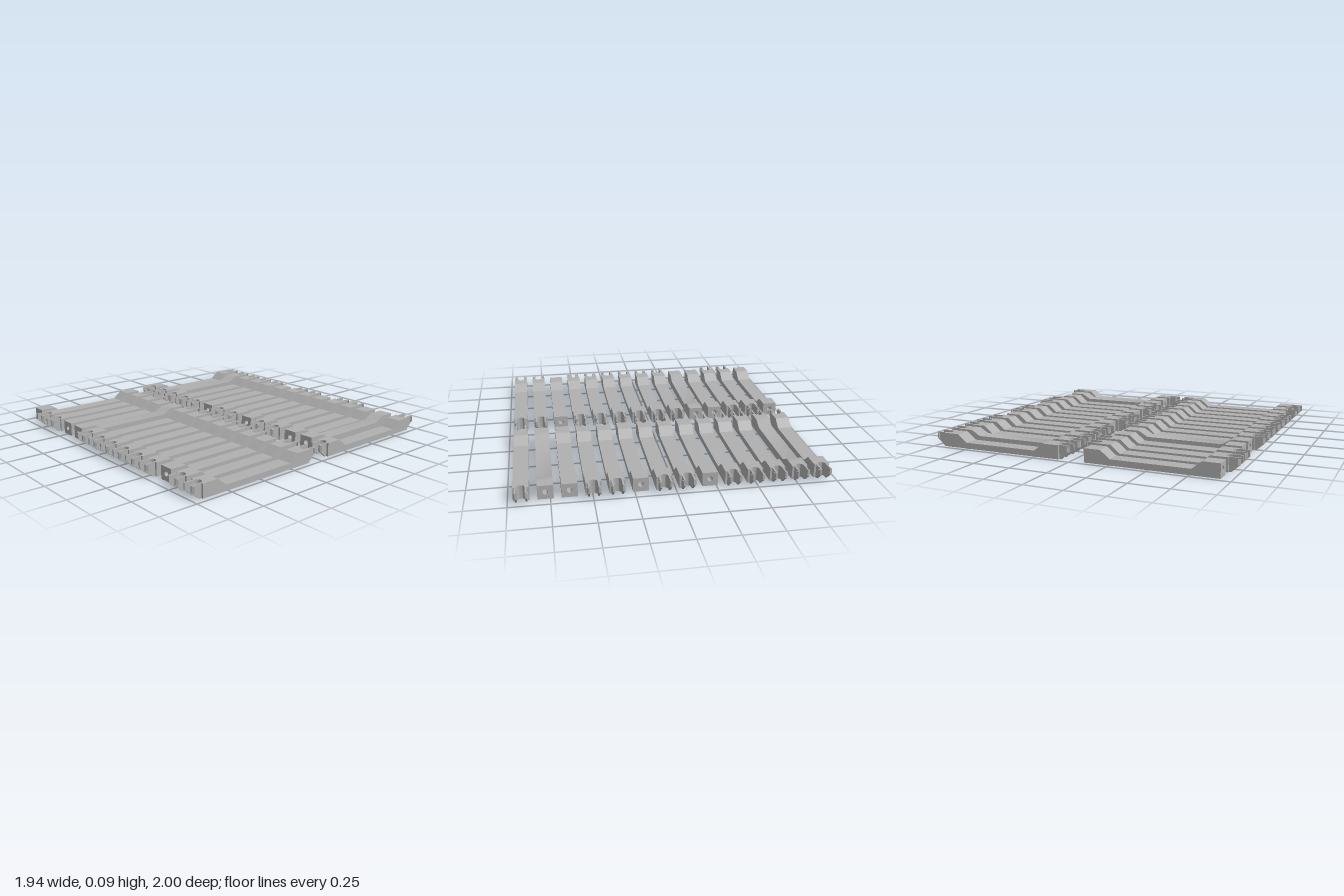
import * as THREE from 'three';
import { toCreasedNormals } from 'three/addons/utils/BufferGeometryUtils.js';

const HALF_W = 0.048, HEIGHT = 0.088, HALF_L = 0.4225, END = 0.06;
const CORE = HALF_L - END;
const extrude = (shape, depth, curveSegments = 12) =>
  new THREE.ExtrudeGeometry(shape, { depth, bevelEnabled: false, curveSegments });
const polygon = (pts) => new THREE.Shape(pts.map(([x, y]) => new THREE.Vector2(x, y)));

// Side profile (z, y) extruded across x, centred on the given x
function acrossX(pts, width, x = 0) {
  return extrude(polygon(pts.map(([z, y]) => [-z, y])), width)
    .rotateY(Math.PI / 2).translate(x - width / 2, 0, 0);
}

// Bar with raised ends and a sunken middle
function barGeometry(floor) {
  return acrossX([
    [-CORE, 0], [CORE, 0], [CORE, HEIGHT], [0.315, HEIGHT], [0.253, floor],
    [-0.253, floor], [-0.315, HEIGHT], [-CORE, HEIGHT],
  ], HALF_W * 2);
}

// Plain end block with a round socket
function socketGeometry() {
  const s = polygon([[-HALF_W, 0], [HALF_W, 0], [HALF_W, HEIGHT], [-HALF_W, HEIGHT]]);
  const hole = new THREE.Path();
  hole.absarc(0, 0.046, 0.017, 0, Math.PI * 2, true);
  s.holes.push(hole);
  return toCreasedNormals(extrude(s, END, 16).translate(0, 0, CORE), 0.6);
}

// Clip end block with a rounded notch through its height
function notchGeometry() {
  const r = 0.025, s = new THREE.Shape();
  s.moveTo(-HALF_W, -CORE);
  s.lineTo(-HALF_W, -HALF_L);
  s.lineTo(-r, -HALF_L);
  s.absarc(0, -HALF_L + 0.002, r, Math.PI, 0, true);
  s.lineTo(r, -HALF_L);
  s.lineTo(HALF_W, -HALF_L);
  s.lineTo(HALF_W, -CORE);
  const g = extrude(s, HEIGHT).rotateX(-Math.PI / 2);
  return toCreasedNormals(g, 0.6);
}

// Thin prong, chamfered underneath
const prongGeometry = () => acrossX([
  [HALF_L, 0], [0.438, 0], [0.49, 0.047], [0.49, HEIGHT], [HALF_L, HEIGHT],
], 0.01);

// Small barb on the outside of a prong tip
const barbGeometry = () => extrude(
  polygon([[0, -0.49], [0.010, -0.478], [0.010, -0.474], [0, -0.474]]), 0.035,
).rotateX(-Math.PI / 2).translate(0, 0.047, 0);

export function createModel() {
  const model = new THREE.Group();
  model.name = 'linkBars';
  const grey = new THREE.MeshStandardMaterial({ color: 0xb0b0b0 });
  grey.name = 'grey';

  const bar = barGeometry(0.038);
  const softBar = toCreasedNormals(barGeometry(0.053), 1);
  const socket = socketGeometry(), notch = notchGeometry();
  const prong = prongGeometry(), barb = barbGeometry();

  const add = (parent, geometry, name) => {
    const mesh = new THREE.Mesh(geometry, grey);
    mesh.name = name;
    parent.add(mesh);
    return mesh;
  };

  function clipEnd() {
    const end = new THREE.Group();
    end.name = 'clipEnd';
    add(end, notch, 'notchedBlock');
    for (const side of [-1, 1]) {
      add(end, prong, 'prong').position.x = side * 0.03;
      const b = add(end, barb, 'barb');
      b.position.x = side * 0.035;
      b.scale.x = side;
    }
    return end;
  }

  function makeBar(plain, soft) {
    const g = new THREE.Group();
    g.name = plain ? 'socketBar' : 'clipBar';
    add(g, soft ? softBar : bar, 'body');
    for (const turn of [0, Math.PI]) {
      let end;
      if (plain) end = add(g, socket, 'socketEnd');
      else g.add(end = clipEnd());
      end.rotation.y = turn;
    }
    return g;
  }

  // Two rows of fourteen bars
  const rows = [
    { z: -0.51, plain: [5, 8, 11, 12], soft: [1, 12] },
    { z: 0.51, plain: [0, 3, 4, 11], soft: [4] },
  ];
  for (const row of rows) {
    for (let i = 0; i < 14; i++) {
      const b = makeBar(row.plain.includes(i), row.soft.includes(i));
      b.position.set((i - 6.5) * 0.1415, 0, row.z);
      model.add(b);
    }
  }
  return model;
}
